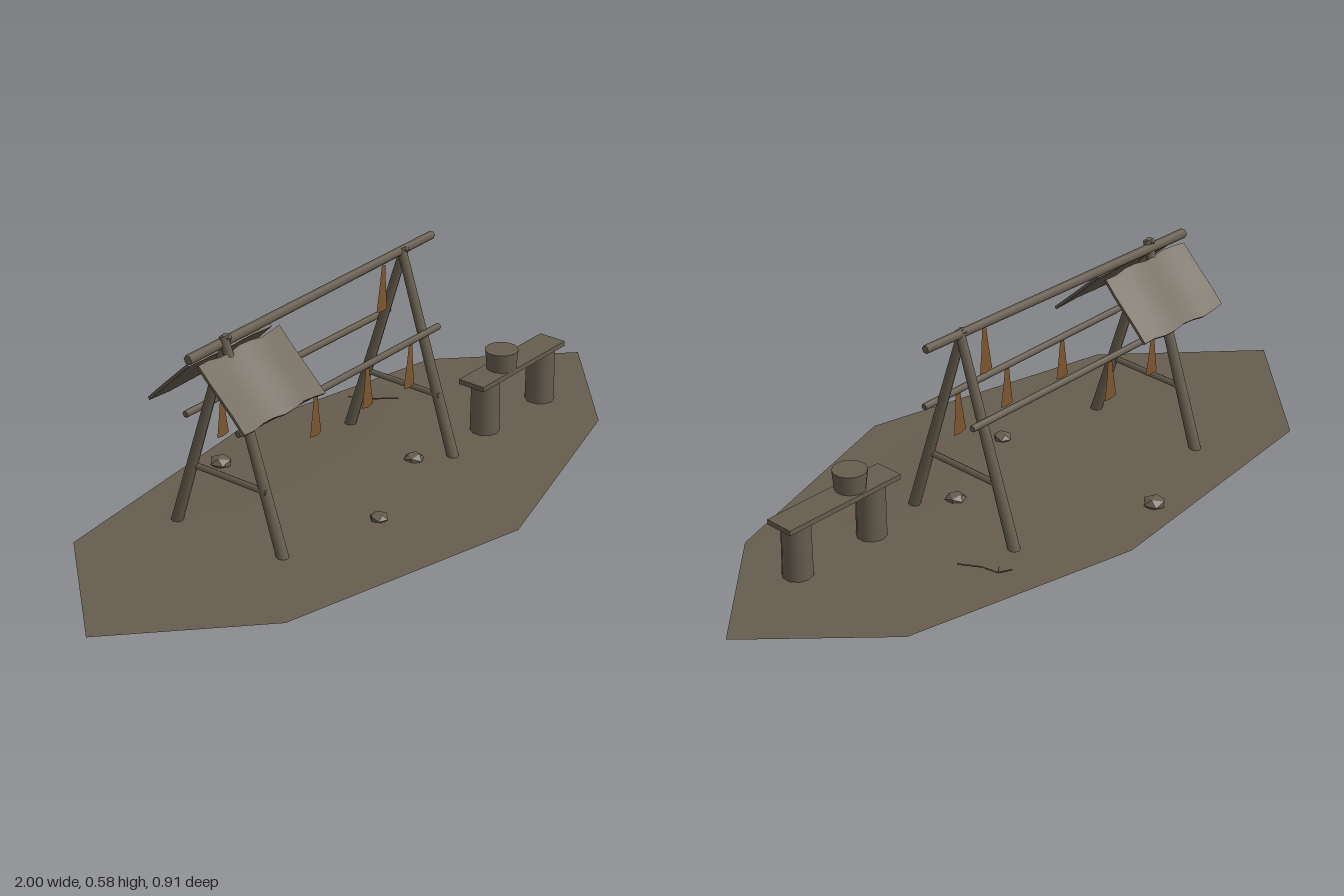
import * as THREE from 'three';

const material = (name, color, side = THREE.FrontSide) => {
  const m = new THREE.MeshStandardMaterial({ color, side });
  m.name = name;
  return m;
};

export function createModel() {
  const model = new THREE.Group();
  model.name = 'dryingRackCamp';
  const wood = material('weathered wood', 0x665d4e);
  const earth = material('packed earth', 0x665d4e, THREE.DoubleSide);
  const meat = material('dried meat', 0x7d5630, THREE.DoubleSide);

  const add = (name, geometry, mat, x = 0, y = 0, z = 0) => {
    const mesh = new THREE.Mesh(geometry, mat);
    mesh.name = name;
    mesh.position.set(x, y, z);
    model.add(mesh);
    return mesh;
  };
  // A tapered log from point a to point b
  const pole = (name, a, b, ra, rb = ra, sides = 6) => {
    const start = new THREE.Vector3(...a), end = new THREE.Vector3(...b);
    const dir = end.clone().sub(start);
    const mesh = add(name, new THREE.CylinderGeometry(rb, ra, dir.length(), sides), wood);
    mesh.position.copy(start).add(end).multiplyScalar(0.5);
    mesh.quaternion.setFromUnitVectors(new THREE.Vector3(0, 1, 0), dir.normalize());
    return mesh;
  };

  // Ground: eight-sided sheet rising gently to the middle
  const rim = [[-1, -0.03], [-0.69, -0.37], [0.05, -0.46], [0.7, -0.33],
    [1, -0.03], [0.68, 0.26], [0.05, 0.45], [-0.66, 0.29]];
  const cx = 0.05, cz = -0.05;
  const points = [cx, 0.034, cz];
  for (const [s, y] of [[0.35, 0.026], [1, 0.021]]) {
    for (const [x, z] of rim) points.push(cx + (x - cx) * s, y, cz + (z - cz) * s);
  }
  const faces = [];
  for (let i = 0; i < 8; i++) {
    const j = (i + 1) % 8;
    faces.push(0, 1 + j, 1 + i, 1 + i, 1 + j, 9 + j, 1 + i, 9 + j, 9 + i);
  }
  const ground = new THREE.BufferGeometry();
  ground.setAttribute('position', new THREE.Float32BufferAttribute(points, 3));
  ground.setIndex(faces);
  ground.computeVertexNormals();
  add('ground', ground, earth);

  // Two A-frames with crossbars
  for (const x of [-0.435, 0.255]) {
    pole('frontLeg', [x + 0.008, 0.006, 0.09], [x - 0.002, 0.575, -0.083], 0.016, 0.012, 8);
    pole('backLeg', [x - 0.008, 0.006, -0.253], [x + 0.004, 0.575, -0.077], 0.016, 0.012, 8);
    pole('crossbar', [x, 0.192, 0.045], [x, 0.192, -0.2], 0.009);
  }

  // Ridge pole and drying rails
  pole('ridgePole', [-0.56, 0.554, -0.088], [0.38, 0.57, -0.082], 0.013, 0.011);
  pole('frontRail', [-0.49, 0.358, 0.002], [0.31, 0.356, -0.004], 0.009);
  pole('backRail', [-0.49, 0.36, -0.166], [0.31, 0.358, -0.168], 0.009);

  // Hide cover: two sloping panels with uneven edges
  for (const side of [1, -1]) {
    const hide = new THREE.BoxGeometry(0.3, 0.008, 0.195, 8, 1, 4);
    const p = hide.attributes.position;
    for (let i = 0; i < p.count; i++) {
      const x = p.getX(i), z = p.getZ(i);
      p.setX(i, x + 0.003 * Math.sin(z * 60));
      p.setZ(i, z + 0.004 * Math.sin(x * 45 + side) * Math.sign(z));
      p.setY(i, p.getY(i) + 0.002 * Math.sin(x * 30) * Math.cos(z * 10));
    }
    hide.computeVertexNormals();
    const panel = add(side > 0 ? 'frontHide' : 'backHide', hide, wood,
      -0.396, 0.467, -0.083 + side * 0.083);
    panel.rotation.x = side * 0.765;
  }

  // Strips hung from the ridge and rails: [x, top y, z, length, lean]
  const strips = [
    [0.175, 0.552, -0.08, 0.128, -0.04], [-0.195, 0.352, 0, 0.115, 0],
    [0.01, 0.352, 0, 0.115, 0.02], [0.187, 0.352, 0, 0.125, -0.04],
    [-0.357, 0.352, -0.166, 0.105, 0.03], [-0.193, 0.352, -0.166, 0.115, -0.03]];
  for (const [x, y, z, length, lean] of strips) {
    const outline = new THREE.Shape([[-0.006, 0], [-0.012, -0.4], [-0.022, -0.96],
      [0, -1], [0.021, -0.97], [0.013, -0.45], [0.008, 0]]
      .map(([px, py]) => new THREE.Vector2(px, py * length)));
    const strip = add('meatStrip', new THREE.ShapeGeometry(outline), meat, x, y, z);
    strip.rotation.z = lean;
  }

  // Plank bench on two stumps, with a bucket
  for (const x of [0.44, 0.69]) {
    add('benchStump', new THREE.CylinderGeometry(0.038, 0.04, 0.155, 10), wood, x, 0.094, 0.057);
  }
  add('benchPlank', new THREE.BoxGeometry(0.37, 0.014, 0.08), wood, 0.56, 0.178, 0.057);
  add('bucket', new THREE.CylinderGeometry(0.045, 0.04, 0.053, 14), wood, 0.505, 0.2115, 0.06);

  // Stones
  for (const [x, z, r, turn] of [[-0.15, -0.36, 0.032, 0.3], [-0.13, 0.15, 0.026, 1.2], [0.18, 0.02, 0.028, 2]]) {
    const stone = add('stone', new THREE.IcosahedronGeometry(r, 0), wood, x, 0.031, z);
    stone.scale.y = 0.55;
    stone.rotation.y = turn;
  }

  // Crooked twig lying on the ground
  const twig = [[0.34, 0.042, -0.33], [0.365, 0.034, -0.305], [0.38, 0.04, -0.265], [0.415, 0.043, -0.215]];
  for (let i = 0; i < 3; i++) pole('twig', twig[i], twig[i + 1], 0.002, 0.002, 4);
  pole('twigFork', twig[1], [0.35, 0.04, -0.295], 0.002, 0.001, 4);

  return model;
}
